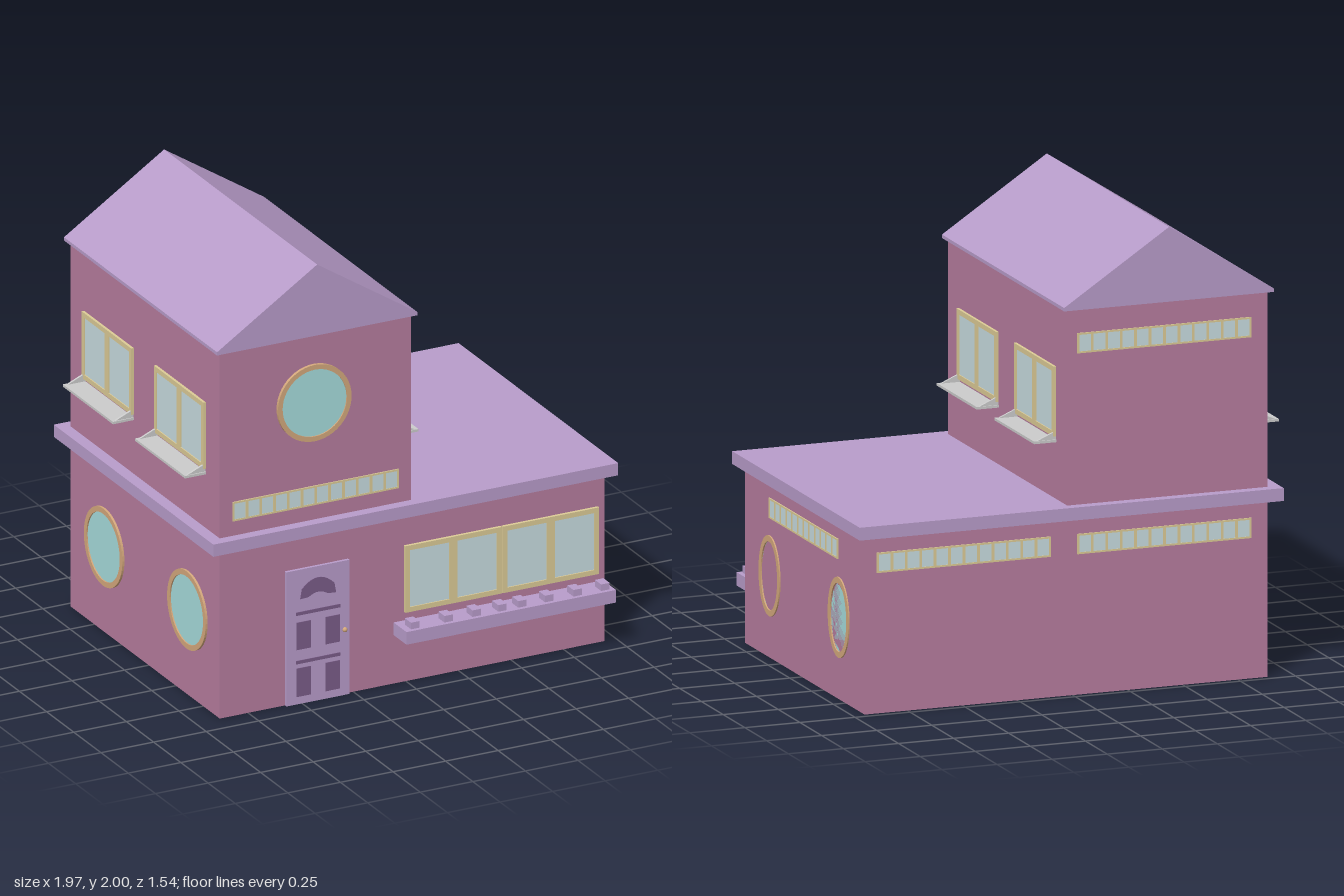
import * as THREE from 'three';

const mat = (color) => new THREE.MeshStandardMaterial({ color });
const wall = mat(0xb67c9e), trim = mat(0xb89cca), dark = mat(0x7a5c88);
const frameMat = mat(0xdccb96), glass = mat(0xc8dce0);
const ringMat = mat(0xd4a87c), roundGlass = mat(0xa6dcdc);
const grey = mat(0xcccccc);

function add(parent, name, geometry, material, x = 0, y = 0, z = 0) {
  const mesh = new THREE.Mesh(geometry, material);
  mesh.name = name;
  mesh.position.set(x, y, z);
  parent.add(mesh);
  return mesh;
}

// Box given by its minimum and maximum corners
function box(parent, name, material, [x0, y0, z0], [x1, y1, z1]) {
  return add(parent, name, new THREE.BoxGeometry(x1 - x0, y1 - y0, z1 - z0), material,
    (x0 + x1) / 2, (y0 + y1) / 2, (z0 + z1) / 2);
}

function extrude(shape, depth, curveSegments = 24) {
  return new THREE.ExtrudeGeometry(shape, { depth, bevelEnabled: false, curveSegments });
}

// Frame with a row of panes, centred in the xy plane and facing +z
function panedWindow(name, w, h, panes, border, bar, depth) {
  const g = new THREE.Group();
  g.name = name;
  const paneW = (w - 2 * border - (panes - 1) * bar) / panes;
  const rect = (path, x0, y0, x1, y1) =>
    path.moveTo(x0, y0).lineTo(x1, y0).lineTo(x1, y1).lineTo(x0, y1).closePath();
  const shape = new THREE.Shape();
  rect(shape, -w / 2, -h / 2, w / 2, h / 2);
  for (let i = 0; i < panes; i++) {
    const x = -w / 2 + border + i * (paneW + bar);
    const hole = new THREE.Path();
    rect(hole, x, -h / 2 + border, x + paneW, h / 2 - border);
    shape.holes.push(hole);
  }
  add(g, 'windowFrame', extrude(shape, depth), frameMat);
  box(g, 'windowGlass', glass, [-w / 2 + border, -h / 2 + border, 0], [w / 2 - border, h / 2 - border, depth * 0.6]);
  return g;
}

// Elliptical window with a ring frame
function roundWindow(name, rx, ry, rim) {
  const g = new THREE.Group();
  g.name = name;
  const shape = new THREE.Shape().absellipse(0, 0, rx, ry, 0, Math.PI * 2);
  shape.holes.push(new THREE.Path().absellipse(0, 0, rx - rim, ry - rim, 0, Math.PI * 2));
  add(g, 'ringFrame', extrude(shape, 0.014), ringMat);
  const pane = new THREE.Shape().absellipse(0, 0, rx - rim, ry - rim, 0, Math.PI * 2);
  add(g, 'roundGlass', extrude(pane, 0.008), roundGlass);
  return g;
}

const strip = (name) => panedWindow(name, 0.79, 0.088, 12, 0.008, 0.012, 0.005);

// Upper side window with a projecting sill on two triangular cheeks
function sillWindow(name) {
  const g = new THREE.Group();
  g.name = name;
  g.add(panedWindow('sidePanes', 0.455, 0.305, 2, 0.022, 0.035, 0.012));
  box(g, 'sill', grey, [-0.23, -0.177, 0], [0.23, -0.166, 0.1]);
  const cheek = new THREE.Shape();
  cheek.moveTo(0, -0.166).lineTo(0.085, -0.166).lineTo(0.012, -0.135).lineTo(0, -0.135).closePath();
  for (const x of [-0.225, 0.215]) {
    const m = add(g, 'sillCheek', extrude(cheek, 0.01), grey, x + 0.01, 0, 0);
    m.rotation.y = -Math.PI / 2;
  }
  return g;
}

function frontDoor() {
  const g = new THREE.Group();
  g.name = 'frontDoor';
  box(g, 'doorLeaf', trim, [-0.15, 0, 0], [0.15, 0.615, 0.014]);
  // Sunken-looking panels and rails
  for (const [y0, y1] of [[0.035, 0.165], [0.25, 0.375]]) {
    box(g, 'doorPanel', dark, [-0.103, y0, 0.01], [-0.035, y1, 0.017]);
    box(g, 'doorPanel', dark, [0.035, y0, 0.01], [0.103, y1, 0.017]);
  }
  for (const y of [0.185, 0.407]) box(g, 'doorRail', dark, [-0.105, y, 0.01], [0.105, y + 0.015, 0.017]);
  // Arched light at the top
  const fan = new THREE.Shape();
  fan.moveTo(-0.085, 0.48).lineTo(-0.045, 0.483).quadraticCurveTo(0, 0.515, 0.045, 0.483)
    .lineTo(0.085, 0.48).lineTo(0.077, 0.525).quadraticCurveTo(0, 0.605, -0.077, 0.525).closePath();
  add(g, 'doorFan', extrude(fan, 0.007, 10), dark, 0, 0, 0.01);
  add(g, 'doorKnob', new THREE.SphereGeometry(0.011, 12, 8), ringMat, 0.127, 0.3, 0.016);
  return g;
}

export function createModel() {
  const house = new THREE.Group();
  house.name = 'house';
  const X0 = -0.885, X1 = 0.945, TOWER = 0.025, FRONT = 0.652, BACK = -0.72;
  const place = (obj, x, y, z, turn = 0) => {
    obj.position.set(x, y, z);
    obj.rotation.y = turn;
    house.add(obj);
  };
  const RIGHT = Math.PI / 2;

  // Storeys and the flat slab between them
  box(house, 'lowerStorey', wall, [X0, 0, BACK], [X1, 0.77, FRONT]);
  box(house, 'flatRoof', trim, [-0.94, 0.77, -0.766], [0.985, 0.826, 0.7]);
  box(house, 'upperStorey', wall, [X0, 0.826, BACK], [TOWER, 1.675, FRONT]);

  // Gable roof
  const gable = new THREE.Shape();
  gable.moveTo(-0.907, 1.675).lineTo(0.045, 1.675).lineTo(0.045, 1.69)
    .lineTo(-0.431, 2).lineTo(-0.907, 1.69).closePath();
  add(house, 'gableRoof', extrude(gable, 1.406), trim, 0, 0, -0.736);

  // Front face
  place(frontDoor(), -0.425, 0, FRONT);
  place(roundWindow('frontRoundWindow', 0.175, 0.175, 0.022), -0.44, 1.365, FRONT);
  place(strip('frontStripWindow'), -0.43, 0.937, FRONT);
  for (const x of [0.22, 0.683]) {
    place(panedWindow('shopWindow', 0.458, 0.305, 2, 0.022, 0.038, 0.014), x, 0.472, FRONT);
  }

  // Shelf with a row of small blocks
  box(house, 'shelf', trim, [-0.058, 0.222, FRONT], [0.938, 0.28, 0.77]);
  for (const x of [-0.007, 0.152, 0.285, 0.408, 0.503, 0.63, 0.765, 0.897]) {
    box(house, 'shelfBlock', trim, [x - 0.02, 0.28, 0.695], [x + 0.02, 0.31, 0.752]);
  }

  // Side faces
  for (const z of [0.297, -0.365]) {
    place(sillWindow('leftSillWindow'), TOWER, 1.25, z, RIGHT);
    place(sillWindow('rightSillWindow'), X0, 1.25, z, -RIGHT);
  }
  for (const z of [0.365, -0.43]) {
    place(roundWindow('leftOvalWindow', 0.12, 0.175, 0.026), X1 - 0.008, 0.357, z, RIGHT);
  }
  for (const z of [0.365, -0.4]) {
    place(roundWindow('rightRoundWindow', 0.177, 0.177, 0.024), X0 + 0.004, 0.393, z, -RIGHT);
  }
  place(strip('leftStripWindow'), X1, 0.652, -0.025, RIGHT);

  // Back face
  for (const [x, y] of [[0.495, 0.655], [-0.415, 0.655], [-0.415, 1.528]]) {
    place(strip('backStripWindow'), x, y, BACK, Math.PI);
  }
  return house;
}
